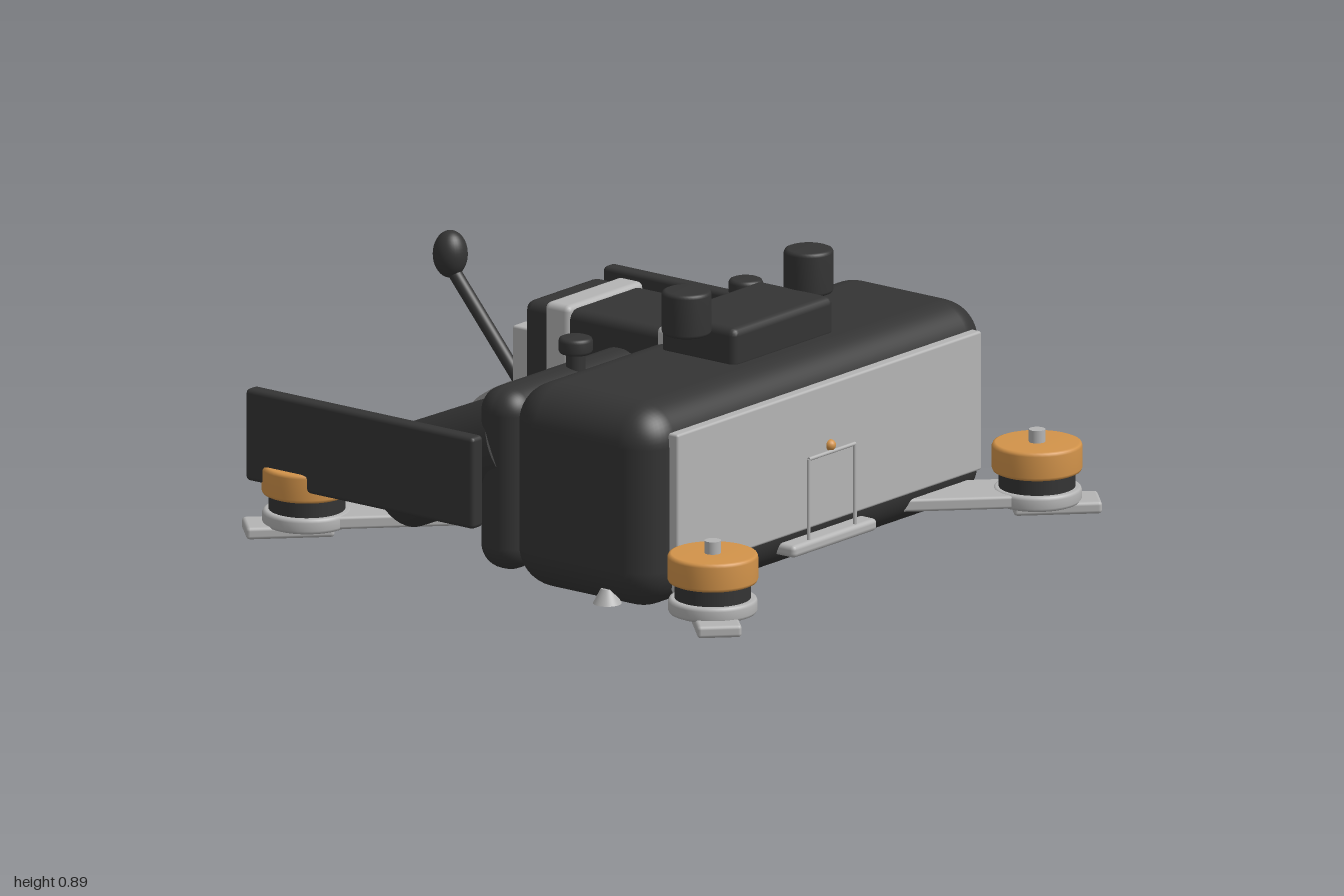
import * as THREE from 'three';
import { RoundedBoxGeometry } from 'three/addons/geometries/RoundedBoxGeometry.js';

const mat = (name, color) => {
  const m = new THREE.MeshStandardMaterial({ color });
  m.name = name;
  return m;
};

export function createModel() {
  const black = mat('matte black', 0x343434);
  const silver = mat('silver', 0xb4b4b4);
  const grey = mat('dark grey', 0x5c5c5c);
  const orange = mat('copper orange', 0xd2934a);
  const blue = mat('blue', 0x4a90c0);

  const model = new THREE.Group();
  model.name = 'drone';

  const add = (name, geometry, material, x = 0, y = 0, z = 0, parent = model) => {
    const mesh = new THREE.Mesh(geometry, material);
    mesh.name = name;
    mesh.position.set(x, y, z);
    parent.add(mesh);
    return mesh;
  };

  // Box given by its extents on each axis, with rounded edges
  const box = (name, material, [x0, x1], [y0, y1], [z0, z1], r = 0.01, parent = model) =>
    add(name, new RoundedBoxGeometry(x1 - x0, y1 - y0, z1 - z0, r > 0.03 ? 6 : 2, r), material,
      (x0 + x1) / 2, (y0 + y1) / 2, (z0 + z1) / 2, parent);

  // Upright cylinder from y0 to y1
  const post = (name, material, r, y0, y1, x, z, parent = model, rTop = r) =>
    add(name, new THREE.CylinderGeometry(rTop, r, y1 - y0, 40), material, x, (y0 + y1) / 2, z, parent);

  // Short cylinder with a softened rim
  const puck = (name, material, r, y0, y1, x, z, parent = model) => {
    const b = 0.012;
    const profile = [[0, y0], [r - b, y0], [r - b * 0.3, y0 + b * 0.3], [r, y0 + b],
      [r, y1 - b], [r - b * 0.3, y1 - b * 0.3], [r - b, y1], [0, y1]];
    return add(name, new THREE.LatheGeometry(profile.map(p => new THREE.Vector2(...p)), 40),
      material, x, 0, z, parent);
  };

  // Cylinder between two points
  const rod = (name, material, r, a, b) => {
    const from = new THREE.Vector3(...a), to = new THREE.Vector3(...b);
    const dir = to.clone().sub(from);
    const mesh = add(name, new THREE.CylinderGeometry(r, r, dir.length(), 40), material);
    mesh.position.copy(from).add(to).multiplyScalar(0.5);
    mesh.quaternion.setFromUnitVectors(new THREE.Vector3(0, 1, 0), dir.normalize());
    return mesh;
  };

  // Main pack and slim pocket
  box('mainBody', black, [0.01, 0.6], [0, 0.66], [-0.86, 0.86], 0.13);
  box('slimBody', black, [-0.155, 0.02], [0.02, 0.61], [-0.81, 0.81], 0.08);
  box('sidePanel', silver, [0.59, 0.63], [0.13, 0.58], [-0.76, 0.76], 0.008);

  // Frame plate, wire hoop and light strip
  box('framePlate', silver, [-0.64, 0.655], [0.06, 0.1], [-0.21, 0.21], 0.015);
  const hoop = [0.115, -0.115].map(z => [[0.638, 0.09, z], [0.638, 0.36, z]]);
  hoop.forEach(([a, b]) => rod('hoopLeg', silver, 0.006, a, b));
  rod('hoopBar', silver, 0.006, hoop[0][1], hoop[1][1]);
  add('panelStud', new THREE.SphereGeometry(0.018, 16, 12), orange, 0.632, 0.38, 0);
  box('lightStrip', blue, [-0.61, -0.31], [0.03, 0.062], [-0.05, 0.05], 0.005);

  // Four arms with motors
  for (const sx of [-1, 1]) for (const sz of [-1, 1]) {
    const arm = new THREE.Group();
    arm.name = 'armAssembly';
    arm.rotation.y = Math.atan2(-sz, sx);
    model.add(arm);
    const d = 0.81 * Math.SQRT2;
    box('arm', silver, [0.15, d + 0.04], [0.055, 0.097], [-0.105, 0.105], 0.01, arm);
    box('foot', silver, [d - 0.08, 1.343], [0.02, 0.06], [-0.07, 0.07], 0.012, arm);
    puck('motorMount', silver, 0.14, 0.05, 0.1, d, 0, arm);
    post('motorBase', black, 0.12, 0.1, 0.155, d, 0, arm);
    puck('motorBell', orange, 0.142, 0.15, 0.243, d, 0, arm);
    post('motorShaft', silver, 0.026, 0.23, 0.283, d, 0, arm);
  }

  // Top block and knobs
  box('topBlock', black, [0.15, 0.45], [0.64, 0.775], [-0.25, 0.25], 0.025);

  // Strapped battery
  box('battery', black, [-0.45, 0.2], [0.38, 0.697], [-0.18, 0.18], 0.03);
  box('strap', silver, [-0.36, -0.26], [0.37, 0.71], [-0.19, 0.19], 0.02);
  box('strap', silver, [0.085, 0.155], [0.37, 0.71], [-0.19, 0.19], 0.02);

  // Tray, cross bars and mounting block
  post('disc', grey, 0.635, 0.335, 0.36, -0.01, 0);
  box('blackBar', black, [-0.356, -0.3], [0.36, 0.455], [-0.59, 0.59], 0.01);
  const tray = new THREE.Shape([[-0.305, -0.66], [-0.24, -0.66], [-0.2, -0.6], [-0.1, -0.56],
    [-0.1, 0.56], [-0.2, 0.6], [-0.24, 0.66], [-0.305, 0.66]].map(p => new THREE.Vector2(...p)));
  add('crossPlate', new THREE.ExtrudeGeometry(tray, { depth: 0.04, bevelEnabled: false }), silver, 0, 0.47)
    .rotation.x = Math.PI / 2;
  box('mountBlock', silver, [-0.61, -0.44], [0.35, 0.555], [-0.035, 0.035], 0.008);

  // Control stick
  rod('stickRod', black, 0.022, [-0.875, 0.68, 0], [-0.6, 0.36, 0]);
  add('stickBall', new THREE.SphereGeometry(0.055, 32, 20), black, -0.885, 0.73, 0).scale.y = 1.38;

  // Mirrored parts along z
  for (const s of [-1, 1]) {
    box('sidePlate', black, [-0.97, -0.06], [0.185, 0.482], s > 0 ? [0.865, 0.92] : [-0.92, -0.865], 0.014);
    rod('tiltedCylinder', black, 0.16, [-0.535, 0.215, s * 0.66], [-0.075, 0.415, s * 0.66]);
    add('gripLobe', new THREE.SphereGeometry(0.125, 32, 20), black, -0.08, 0.42, s * 0.43);
    puck('largeKnob', black, 0.078, 0.75, 0.892, 0.302, s * 0.305);
    puck('smallKnob', black, 0.054, 0.652, 0.705, -0.045, s * 0.425);
    post('smallKnobStem', black, 0.03, 0.57, 0.66, -0.045, s * 0.425);
    post('bottomStud', silver, 0.045, 0.012, 0.06, 0.405, s * 0.83, model, 0.02);
    post('standoff', silver, 0.024, 0.09, 0.34, -0.45, s * 0.15);
  }
  return model;
}
